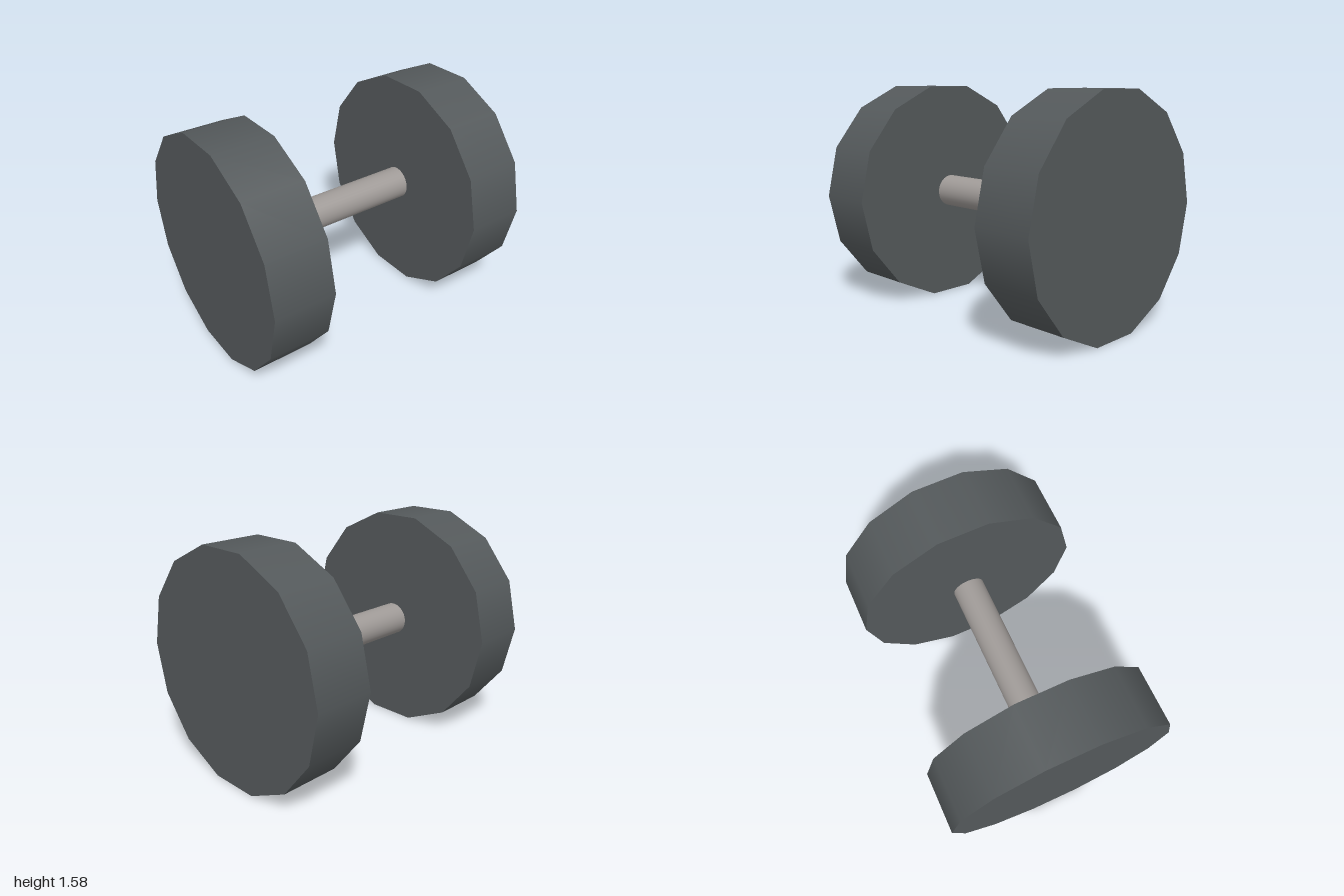
import * as THREE from 'three';

export function createModel() {
  const group = new THREE.Group();
  const iron = new THREE.MeshStandardMaterial({ color: 0x54595b });
  iron.name = 'dark iron';
  const steel = new THREE.MeshStandardMaterial({ color: 0x9f9a97 });
  steel.name = 'grey steel';

  const radius = 0.81;
  const centreY = radius * Math.cos(Math.PI / 14); // rests on a flat side
  const thickness = 0.425;

  // Cylinder lying along z, with a corner pointing to +x
  const rod = (name, r, length, sides, z, material, open = false) => {
    const geometry = new THREE.CylinderGeometry(r, r, length, sides, 1, open, Math.PI / 2);
    geometry.rotateX(Math.PI / 2);
    const mesh = new THREE.Mesh(geometry, material);
    mesh.name = name;
    mesh.position.set(0, centreY, z);
    group.add(mesh);
  };

  // Fourteen-sided weights at both ends
  rod('frontWeight', radius, thickness, 14, 1 - thickness / 2, iron);
  rod('backWeight', radius, thickness, 14, -1 + thickness / 2, iron);

  // Round grip between the weights
  rod('handle', 0.116, 2 * (1 - thickness), 32, 0, steel, true);

  return group;
}
